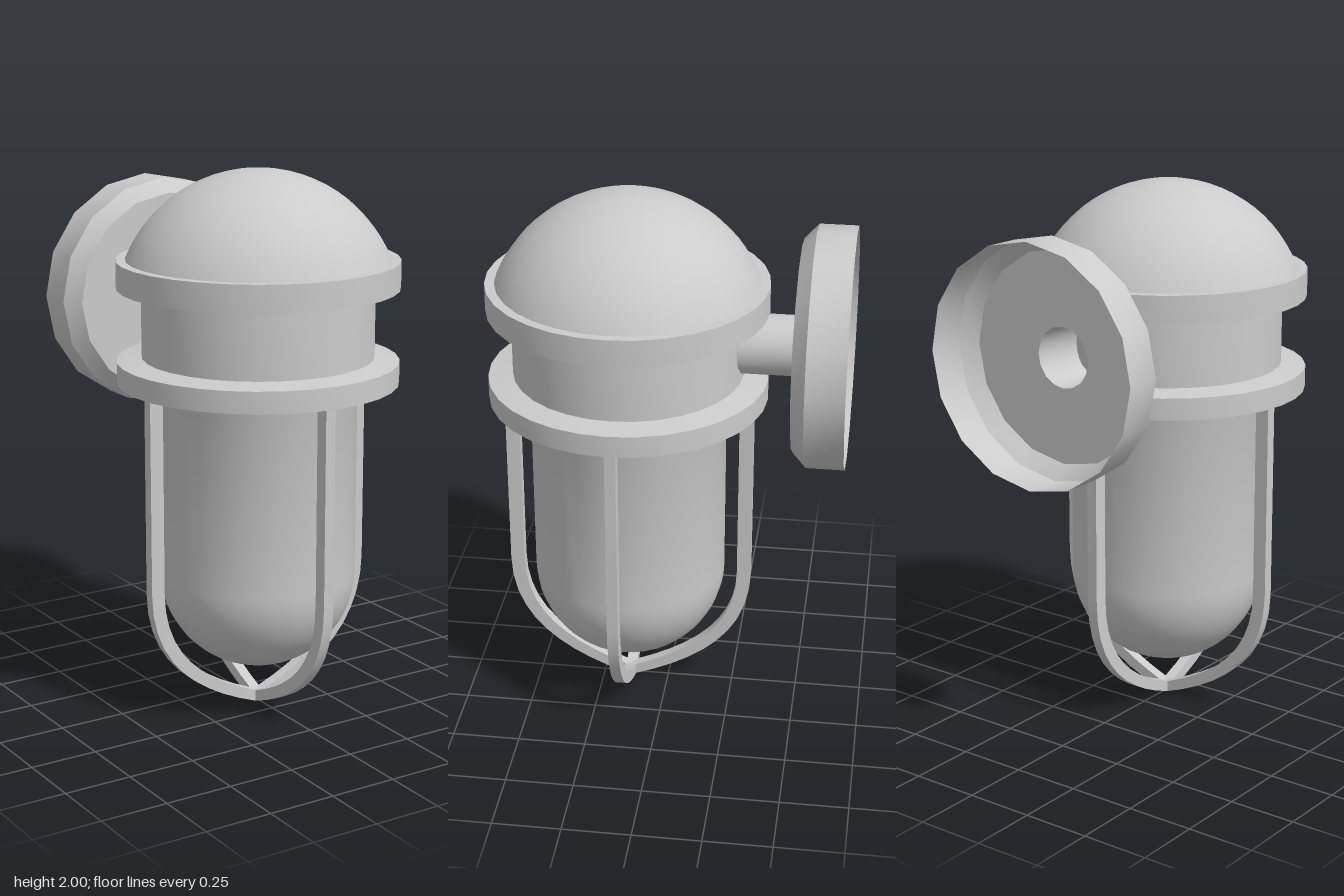
import * as THREE from 'three';
import { toCreasedNormals } from 'three/addons/utils/BufferGeometryUtils.js';

const AXIS_Z = 0.145; // lamp axis, forward of the wall plate

export function createModel() {
  const model = new THREE.Group();
  model.name = 'wallLantern';
  const grey = new THREE.MeshStandardMaterial({ color: 0xcccccc });
  const shell = new THREE.MeshStandardMaterial({ color: 0xcccccc, side: THREE.DoubleSide });

  const add = (name, geometry, material, parent) => {
    const mesh = new THREE.Mesh(geometry, material);
    mesh.name = name;
    parent.add(mesh);
    return mesh;
  };
  const lathe = (points, segments) => toCreasedNormals(
    new THREE.LatheGeometry(points.map(([r, y]) => new THREE.Vector2(r, y)), segments), 0.6);
  // Points on a circular arc centred on the lathe axis
  const arc = (cy, radius, from, to, steps) => Array.from({ length: steps + 1 }, (_, i) => {
    const a = from + (to - from) * i / steps;
    return [Math.max(0, radius * Math.cos(a)), cy + radius * Math.sin(a)];
  });

  const lamp = new THREE.Group();
  lamp.name = 'lamp';
  lamp.position.z = AXIS_Z;
  model.add(lamp);

  // Lower ring, neck and upper ring
  add('housing', lathe([
    [0.34, 1.235], [0.51, 1.235], [0.51, 1.315], [0.42, 1.328],
    [0.42, 1.58], [0.51, 1.58], [0.51, 1.68], [0.46, 1.68],
  ], 32), shell, lamp);

  // Domed cap
  add('dome', lathe(arc(1.4875, 0.5125, Math.asin(0.1925 / 0.5125), Math.PI / 2, 14), 32), grey, lamp);

  // Round-ended glass with a small flare under the ring
  add('glass', lathe([
    ...arc(0.52, 0.36, -Math.PI / 2, 0, 14), [0.36, 1.2], [0.375, 1.24],
  ], 32), shell, lamp);

  // Four guard bars meeting below the glass
  const bar = new THREE.Shape();
  bar.moveTo(0, 0);
  bar.lineTo(0.02, 0.003);
  bar.bezierCurveTo(0.27, 0.09, 0.462, 0.23, 0.462, 0.5);
  bar.lineTo(0.462, 1.24);
  bar.lineTo(0.41, 1.24);
  bar.lineTo(0.41, 0.5);
  bar.bezierCurveTo(0.41, 0.26, 0.25, 0.135, 0.02, 0.045);
  bar.lineTo(0, 0.04);
  const barGeometry = toCreasedNormals(
    new THREE.ExtrudeGeometry(bar, { depth: 0.04, bevelEnabled: false, curveSegments: 10 })
      .translate(0, 0, -0.02), 0.6);
  for (let i = 0; i < 4; i++) {
    add('guardBar', barGeometry, grey, lamp).rotation.y = i * Math.PI / 2;
  }

  // Hollow wall plate, open at the back, and its hollow arm
  const mount = new THREE.Group();
  mount.name = 'wallMount';
  mount.position.y = 1.457;
  mount.rotation.x = Math.PI / 2;
  model.add(mount);
  add('wallPlate', lathe([[0.437, -0.66], [0.437, -0.52], [0.385, -0.47], [0.11, -0.47]], 16), shell, mount);
  add('arm', lathe([[0.11, -0.47], [0.11, -0.255]], 24), shell, mount);

  return model;
}
